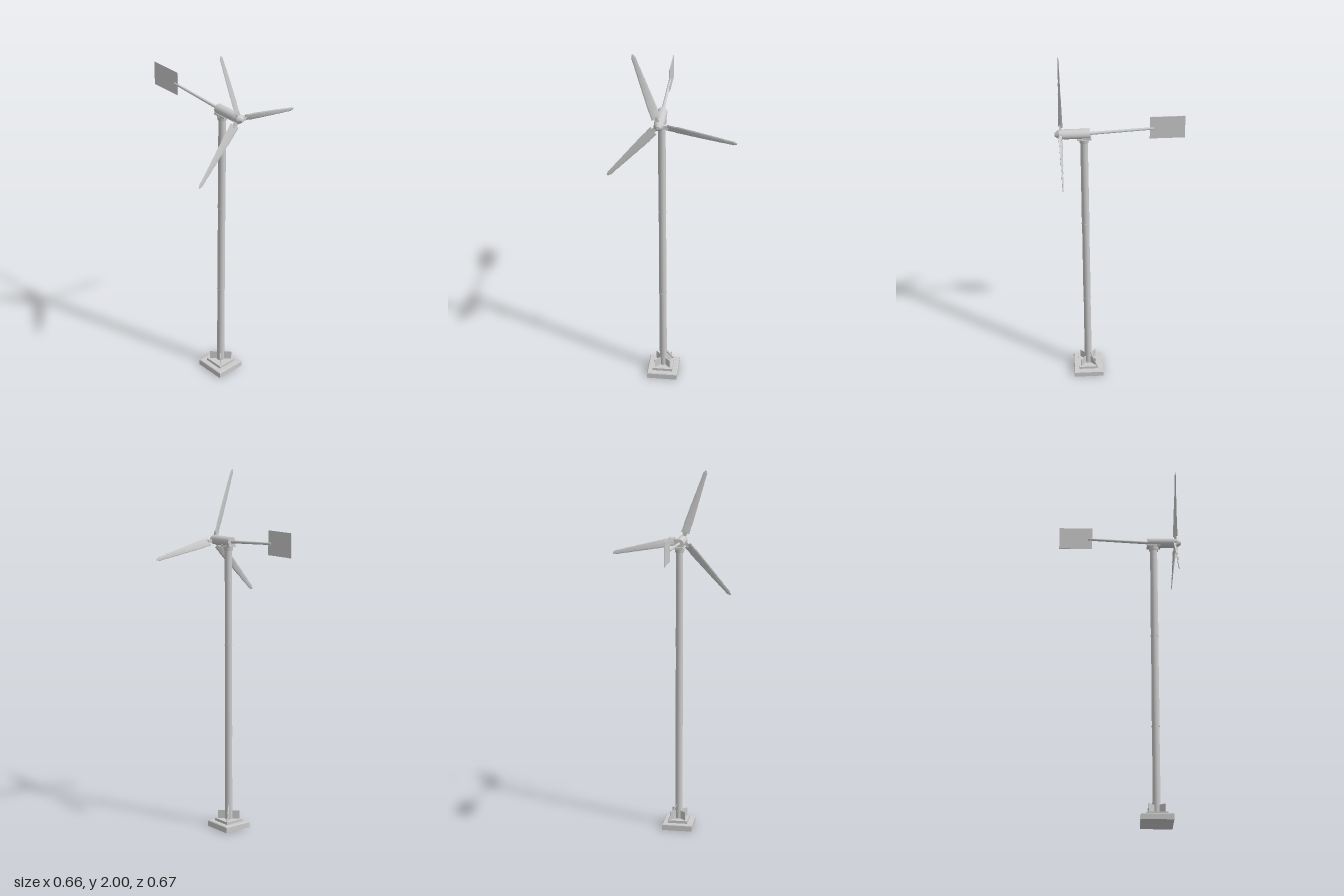
import * as THREE from 'three';

const X = -0.0625, Z = 0.184, HUB_Y = 1.622, ROTOR_Z = 0.304;

export function createModel() {
  const model = new THREE.Group();
  model.name = 'windTurbine';
  const smooth = new THREE.MeshStandardMaterial({ color: 0xcccccc });
  const flat = new THREE.MeshStandardMaterial({ color: 0xcccccc, flatShading: true });

  const add = (name, geo, x, y, z, mat = smooth, parent = model) => {
    const mesh = new THREE.Mesh(geo, mat);
    mesh.name = name;
    mesh.position.set(x, y, z);
    parent.add(mesh);
    return mesh;
  };
  const box = (w, h, d) => new THREE.BoxGeometry(w, h, d);
  const cyl = (top, bottom, h, sides = 24) => new THREE.CylinderGeometry(top, bottom, h, sides);
  // Square block with a narrowed top, made from a four-sided cylinder
  const slab = (top, bottom, h) => cyl(top / Math.SQRT2, bottom / Math.SQRT2, h, 4).rotateY(Math.PI / 4);
  // Mesh stretched from one point to another along its y axis
  const between = (name, a, b, makeGeo, mat) => {
    const dir = b.clone().sub(a);
    const mid = a.clone().add(b).multiplyScalar(0.5);
    const mesh = add(name, makeGeo(dir.length()), mid.x, mid.y, mid.z, mat);
    mesh.quaternion.setFromUnitVectors(new THREE.Vector3(0, 1, 0), dir.normalize());
    return mesh;
  };

  // Stepped foundation
  add('foundation', slab(0.167, 0.167, 0.03), X, 0.015, Z, flat);
  add('foundationBevel', slab(0.16, 0.167, 0.004), X, 0.032, Z, flat);
  add('basePlate', slab(0.11, 0.11, 0.016), X, 0.041, Z, flat);

  // Crossed gusset plates on the diagonals
  for (const s of [1, -1]) {
    add('gusset', box(0.12, 0.05, 0.004), X, 0.072, Z, flat).rotation.y = s * Math.PI / 4;
  }

  // Slanted brace at the back left corner of the foot
  between('brace', new THREE.Vector3(X + 0.012, 0.13, Z - 0.012),
    new THREE.Vector3(X + 0.052, 0.046, Z - 0.052), (len) => cyl(0.005, 0.005, len, 8), smooth);

  // Tower in three sections with joint rings
  const joints = [0.045, 0.53, 1.05, 1.58];
  for (let i = 0; i < 3; i++) {
    const h = joints[i + 1] - joints[i];
    add('towerSection', cyl(0.0195, 0.0205, h), X, joints[i] + h / 2, Z);
    if (i > 0) add('towerJoint', cyl(0.0215, 0.0215, 0.006), X, joints[i], Z);
  }
  add('towerCollar', cyl(0.027, 0.024, 0.022), X, 1.583, Z);
  add('yawPlate', box(0.044, 0.009, 0.075), X, 1.598, Z, flat);

  // Nacelle
  add('nacelle', cyl(0.026, 0.026, 0.138, 32), X, HUB_Y, 0.221).rotation.x = Math.PI / 2;

  // Tail boom, rising slightly toward the vane
  between('tailBoom', new THREE.Vector3(X, HUB_Y, 0.16), new THREE.Vector3(X, 1.641, -0.18),
    (len) => cyl(0.0065, 0.008, len, 16), smooth);
  add('tailVane', box(0.003, 0.13, 0.182), X, 1.645, -0.247, flat);

  // Rotor with nose cone
  const rotor = new THREE.Group();
  rotor.name = 'rotor';
  rotor.position.set(X, HUB_Y, ROTOR_Z);
  model.add(rotor);
  add('hub', cyl(0.025, 0.025, 0.024), 0, 0, -0.003, smooth, rotor).rotation.x = Math.PI / 2;
  add('noseCone', cyl(0.009, 0.025, 0.022), 0, 0, 0.02, smooth, rotor).rotation.x = Math.PI / 2;

  // Blade steps: [start radius, half chord, half thickness, pitch]
  const steps = [
    [0.04, 0.025, 0.005, 0.46], [0.086, 0.0245, 0.0045, 0.4], [0.147, 0.0215, 0.004, 0.34],
    [0.208, 0.0185, 0.0035, 0.28], [0.268, 0.0155, 0.003, 0.23], [0.328, 0.0125, 0.0027, 0.19],
    [0.386, 0.009, 0.0022, 0.16], [0.4],
  ];
  for (let k = 0; k < 3; k++) {
    const blade = new THREE.Group();
    blade.name = 'blade';
    blade.rotation.z = THREE.MathUtils.degToRad(18.3 + 120 * k);
    rotor.add(blade);
    add('bladeRoot', box(0.02, 0.05, 0.014), 0, 0.025, 0, flat, blade);
    for (let i = 0; i < steps.length - 1; i++) {
      const [r, chord, thick, pitch] = steps[i];
      const len = steps[i + 1][0] - r;
      const taper = i === steps.length - 2 ? 0.55 : 0.92;
      const geo = cyl(taper, 1, len, 8).scale(chord, 1, thick);
      add('bladeSegment', geo, 0, r + len / 2, 0, flat, blade).rotation.y = pitch;
    }
  }
  return model;
}
